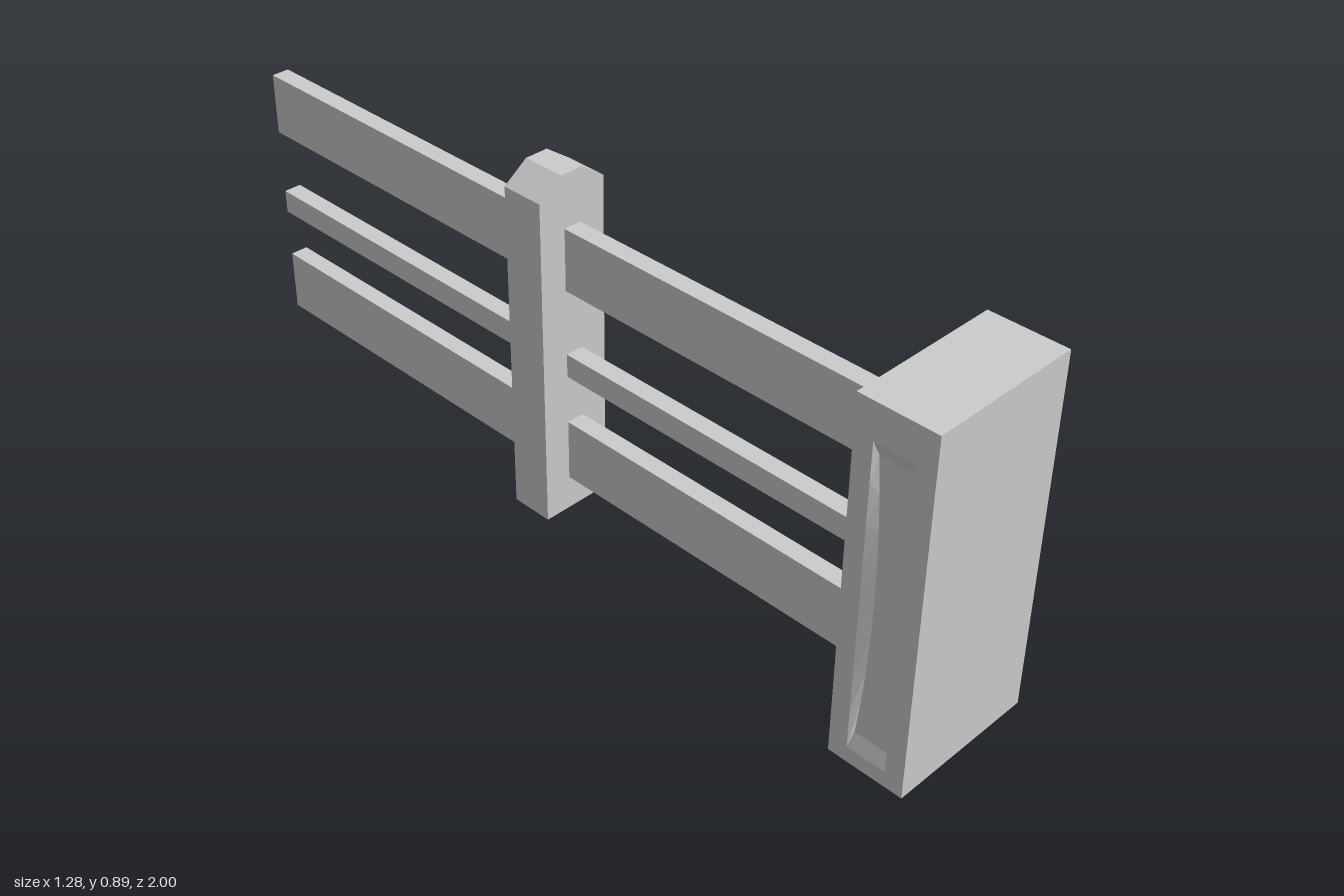
import * as THREE from 'three';

const material = new THREE.MeshStandardMaterial({ color: 0xcccccc, flatShading: true, side: THREE.DoubleSide });

function addMesh(parent, name, geometry, x = 0, y = 0, z = 0) {
  const mesh = new THREE.Mesh(geometry, material);
  mesh.name = name;
  mesh.position.set(x, y, z);
  parent.add(mesh);
  return mesh;
}

// Shallow hourglass recess facing +z: straight opening, sloped ends, pinched floor
function recessGeometry(halfWidth, bottom, top, depth) {
  const rows = 8, slope = 0.035, positions = [];
  const quad = (a, b, c, d) => positions.push(...a, ...b, ...c, ...a, ...c, ...d);
  const row = (i) => {
    const t = i / rows, u = 2 * t - 1;
    const half = halfWidth - 0.006 - 0.019 * (1 - u * u);
    const yOuter = THREE.MathUtils.lerp(bottom, top, t);
    const yFloor = THREE.MathUtils.lerp(bottom + slope, top - slope, t);
    return [[-halfWidth, yOuter, 0], [-half, yFloor, -depth], [half, yFloor, -depth], [halfWidth, yOuter, 0]];
  };
  for (let i = 0; i < rows; i++) {
    const a = row(i), b = row(i + 1);
    for (let k = 0; k < 3; k++) quad(a[k], a[k + 1], b[k + 1], b[k]);
  }
  const first = row(0), last = row(rows);
  quad(first[0], first[3], first[2], first[1]);
  quad(last[1], last[2], last[3], last[0]);
  const geometry = new THREE.BufferGeometry();
  geometry.setAttribute('position', new THREE.Float32BufferAttribute(positions, 3));
  geometry.computeVertexNormals();
  return geometry;
}

// Large pillar: a shell open underneath, with a recess in each side
function createPillar(width, height, depth) {
  const pillar = new THREE.Group();
  pillar.name = 'pillar';
  const panel = new THREE.PlaneGeometry(width, height);
  addMesh(pillar, 'pillarFront', panel, 0, height / 2, depth / 2);
  addMesh(pillar, 'pillarBack', panel, 0, height / 2, -depth / 2).rotation.y = Math.PI;
  addMesh(pillar, 'pillarTop', new THREE.PlaneGeometry(width, depth), 0, height, 0).rotation.x = -Math.PI / 2;

  const w = 0.049, low = 0.04, high = 0.8, d = depth / 2;
  const face = new THREE.Shape([[-d, 0], [d, 0], [d, height], [-d, height]].map((p) => new THREE.Vector2(...p)));
  face.holes.push(new THREE.Path([[-w, low], [-w, high], [w, high], [w, low]].map((p) => new THREE.Vector2(...p))));
  const faceGeometry = new THREE.ShapeGeometry(face);
  const recess = recessGeometry(w, low, high, 0.014);
  for (const [name, s] of [['left', 1], ['right', -1]]) {
    const side = new THREE.Group();
    side.name = name + 'Side';
    side.position.x = s * width / 2;
    side.rotation.y = s * Math.PI / 2;
    addMesh(side, name + 'Face', faceGeometry);
    addMesh(side, name + 'Recess', recess);
    pillar.add(side);
  }
  return pillar;
}

export function createModel() {
  const model = new THREE.Group();
  model.name = 'fence';

  // The fence runs along its own z axis and is turned 30 degrees
  const run = new THREE.Group();
  run.name = 'fenceRun';
  run.rotation.y = Math.PI / 6;
  model.add(run);
  const axis = -0.042, start = -1.167, pillarZ = 0.922, pillarDepth = 0.19;

  const pillar = createPillar(0.384, 0.886, pillarDepth);
  pillar.position.set(axis, 0, pillarZ);
  run.add(pillar);

  // Thin post with a chamfered top
  const profile = [[-0.0935, 0], [0.0935, 0], [0.0935, 0.845], [0.03, 0.89], [-0.03, 0.89], [-0.0935, 0.845]];
  const postShape = new THREE.Shape(profile.map((p) => new THREE.Vector2(...p)));
  const post = new THREE.ExtrudeGeometry(postShape, { depth: 0.11, bevelEnabled: false });
  post.translate(0, 0, -0.055);
  addMesh(run, 'post', post, axis, 0, -0.172);

  // Rails through the post, ending on the pillar
  const end = pillarZ - pillarDepth / 2;
  for (const [name, low, high] of [['topRail', 0.6, 0.757], ['middleRail', 0.372, 0.432], ['bottomRail', 0.088, 0.246]]) {
    addMesh(run, name, new THREE.BoxGeometry(0.046, high - low, end - start), axis, (low + high) / 2, (start + end) / 2);
  }
  return model;
}
